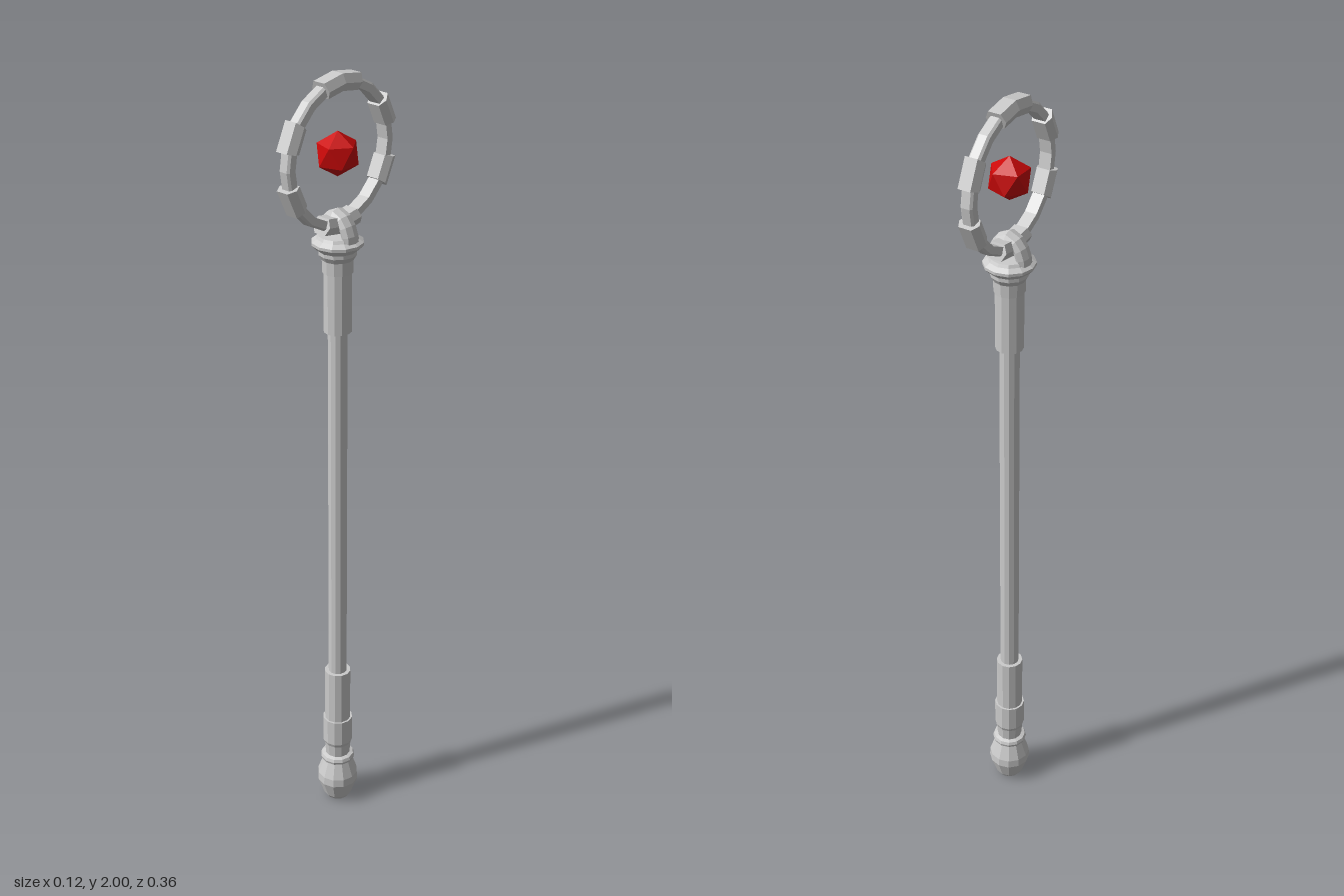
import * as THREE from 'three';

const steel = new THREE.MeshStandardMaterial({ color: 0xcccccc, flatShading: true, side: THREE.DoubleSide });
const red = new THREE.MeshStandardMaterial({ color: 0xcc0808, flatShading: true });
const rad = THREE.MathUtils.degToRad;

function add(parent, name, geometry, material = steel) {
  const mesh = new THREE.Mesh(geometry, material);
  mesh.name = name;
  parent.add(mesh);
  return mesh;
}

// Turned part from [radius, height] pairs, bottom to top
function turned(parent, name, profile) {
  const points = profile.map(([r, y]) => new THREE.Vector2(r, y));
  return add(parent, name, new THREE.LatheGeometry(points, 12));
}

// Closed section swept through an arc about the x axis, with optional end caps.
// Angles: 0 points to +z, 90 points down.
function arcBand(parent, name, section, start, sweep, segments, capped) {
  const band = new THREE.Group();
  band.name = name;
  band.rotation.z = -Math.PI / 2;
  const points = section.map(([r, w]) => new THREE.Vector2(r, w));
  add(band, name + 'Side', new THREE.LatheGeometry([...points, points[0]], segments, rad(start), rad(sweep)));
  if (capped) {
    for (const angle of [start, start + sweep]) {
      const cap = new THREE.ShapeGeometry(new THREE.Shape(points));
      add(band, name + 'End', cap.rotateY(rad(angle) - Math.PI / 2));
    }
  }
  parent.add(band);
}

export function createModel() {
  const model = new THREE.Group();
  model.name = 'staff';

  // Pole and its wrapped sections
  turned(model, 'shaft', [[0.024, 0.38], [0.024, 1.42]]);
  turned(model, 'lowerGrip', [[0, 0.25], [0.034, 0.25], [0.034, 0.412], [0.022, 0.412]]);
  turned(model, 'lowerSleeve', [[0.031, 0.13], [0.035, 0.18], [0.039, 0.19], [0.039, 0.262], [0.03, 0.262]]);
  turned(model, 'upperGrip', [[0.022, 1.383], [0.034, 1.383], [0.034, 1.54]]);
  turned(model, 'upperSleeve', [[0.03, 1.533], [0.037, 1.533], [0.038, 1.565], [0.046, 1.578], [0.046, 1.59]]);

  // Pommel at the foot
  turned(model, 'pommel', [[0, 0], [0.03, 0.002], [0.037, 0.012], [0.054, 0.06], [0.053, 0.082], [0.038, 0.125], [0, 0.13]]);
  turned(model, 'pommelRing', [[0.034, 0.122], [0.043, 0.128], [0.045, 0.135], [0.042, 0.143], [0.03, 0.147]]);

  // Flared collar under the ring
  turned(model, 'collar', [[0.04, 1.583], [0.05, 1.59], [0.062, 1.602], [0.062, 1.609], [0.05, 1.617], [0.046, 1.624], [0, 1.626]]);

  // Arched loop that holds the ring
  const arch = new THREE.CatmullRomCurve3(
    [[-0.04, 1.608], [-0.035, 1.638], [-0.018, 1.664], [0, 1.673], [0.018, 1.664], [0.035, 1.638], [0.04, 1.608]]
      .map(([x, y]) => new THREE.Vector3(x, y, 0)));
  add(model, 'loop', new THREE.TubeGeometry(arch, 8, 0.015, 8)).scale.z = 1.6;

  // Large ring with clamps around it
  const head = new THREE.Group();
  head.name = 'head';
  head.position.y = 1.815;
  model.add(head);
  const ringSection = [[0.152, -0.009], [0.17, -0.009], [0.175, -0.006], [0.175, 0.006], [0.17, 0.009], [0.152, 0.009]]
    .map(([r, w]) => [r, w * 1.7]);
  arcBand(head, 'ring', ringSection, 0, 360, 20, false);

  const clampSection = [[0.146, -0.017], [0.165, -0.026], [0.185, -0.016], [0.185, 0.016], [0.165, 0.026], [0.146, 0.017]];
  for (const angle of [-90, 90]) {
    arcBand(head, 'longClamp', clampSection, angle - 19, 38, 2, true);
  }
  for (const angle of [25, -25, 155, 205]) {
    arcBand(head, 'sideClamp', clampSection, angle - 11, 22, 1, true);
  }

  // Floating gem, one corner up
  const gem = new THREE.IcosahedronGeometry(0.053).rotateZ(-Math.atan(2 / (1 + Math.sqrt(5))));
  add(head, 'gem', gem, red);

  return model;
}
